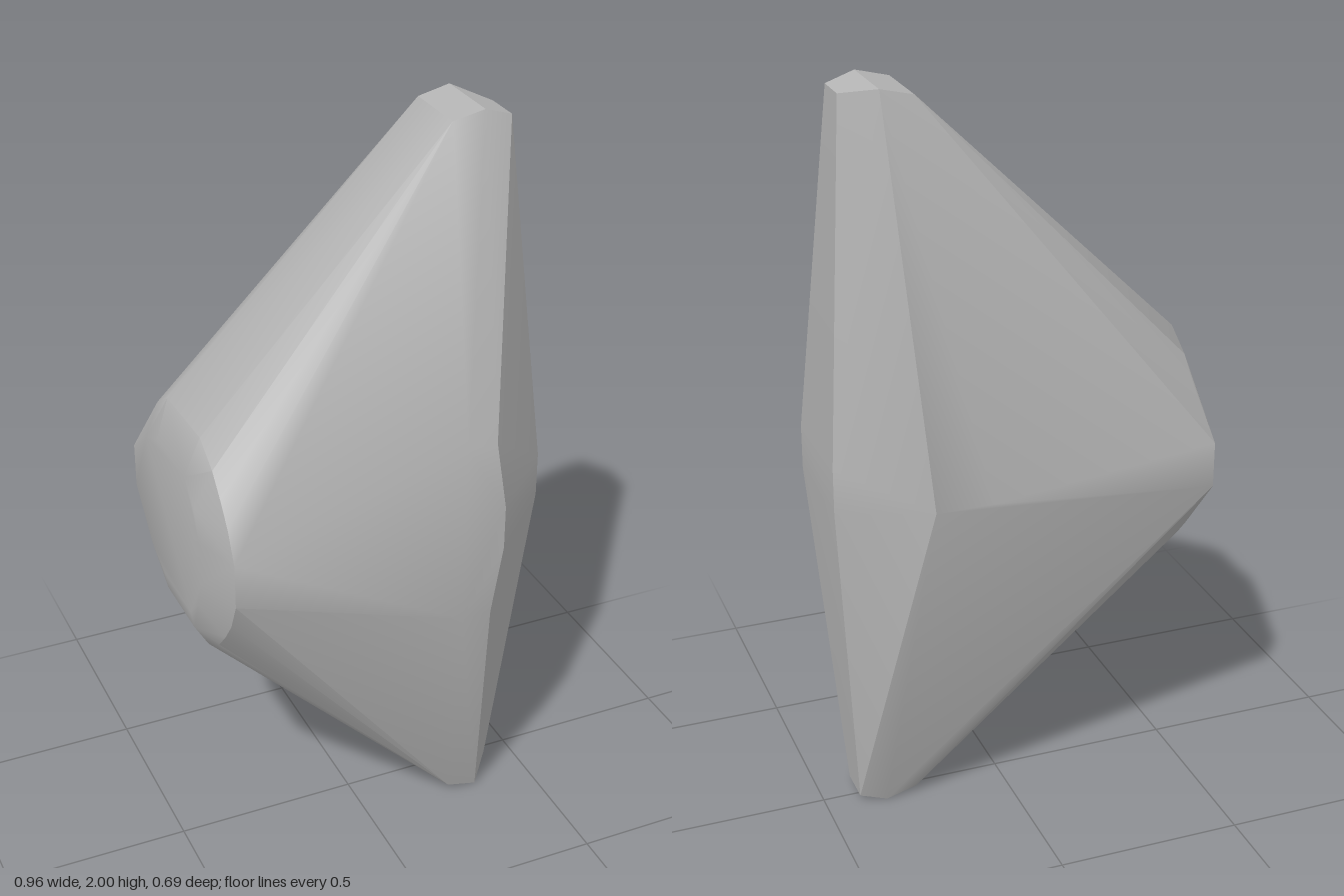
import * as THREE from 'three';
import { toCreasedNormals } from 'three/addons/utils/BufferGeometryUtils.js';
import { ConvexGeometry } from 'three/addons/geometries/ConvexGeometry.js';

export function createModel() {
  const group = new THREE.Group();
  group.name = 'facetedStone';
  const stone = new THREE.MeshStandardMaterial({ color: 0xb4b4b4 });
  stone.name = 'stone grey';

  const points = [];
  const add = (x, y, z) => points.push(new THREE.Vector3(x, y, z));

  // Two tips, each the other turned half a circle about the x axis
  for (const s of [1, -1]) {
    const tip = (x, h, z) => add(x, 1 + s * h, s * z);
    tip(0.25, 0.98, -0.14);
    tip(0.25, 0.98, 0.05);
    tip(0.335, 1, -0.14);
    tip(0.335, 1, 0.055);
    tip(0.41, 0.975, -0.05);
    tip(0.41, 0.975, 0.05);
    // Narrow flat on the right edge
    tip(0.48, 0.06, 0.145);
    tip(0.48, 0.06, -0.145);
    // Front panel corners, slightly rounded
    add(0.25, 1 + s * 0.25, 0.343);
    add(0.25, 1 + s * 0.275, 0.333);
    add(0.17, 1 + s * 0.25, 0.343);
    add(0.17, 1 + s * 0.28, 0.329);
    add(0.28, 1 + s * 0.06, 0.345);
  }

  // Ridge at the back
  add(0.28, 1, -0.345);
  add(0.13, 1, -0.345);

  // Rounded left end: a wide rim and a flat cap inside it
  const rim = [[0.06, 0.322], [0.14, 0.285], [0.2, 0.24], [0.255, 0.19], [0.305, 0.11]];
  for (const s of [1, -1]) {
    for (const [h, z] of rim) {
      add(-0.44, 1 + s * h, z);
      add(-0.445, 1 + s * h, -z);
    }
    for (const [h, z] of [[0.06, 0.19], [0.14, 0.16], [0.2, 0.1], [0.2, -0.1], [0.16, -0.19]]) {
      add(-0.481, 1 + s * h, z);
    }
    add(-0.472, 1 + s * 0.06, -0.33);
  }
  add(-0.473, 0.75, -0.1);
  add(-0.473, 0.75, 0.1);

  const body = new THREE.Mesh(toCreasedNormals(new ConvexGeometry(points), 0.5), stone);
  body.name = 'stoneBody';
  group.add(body);
  return group;
}
